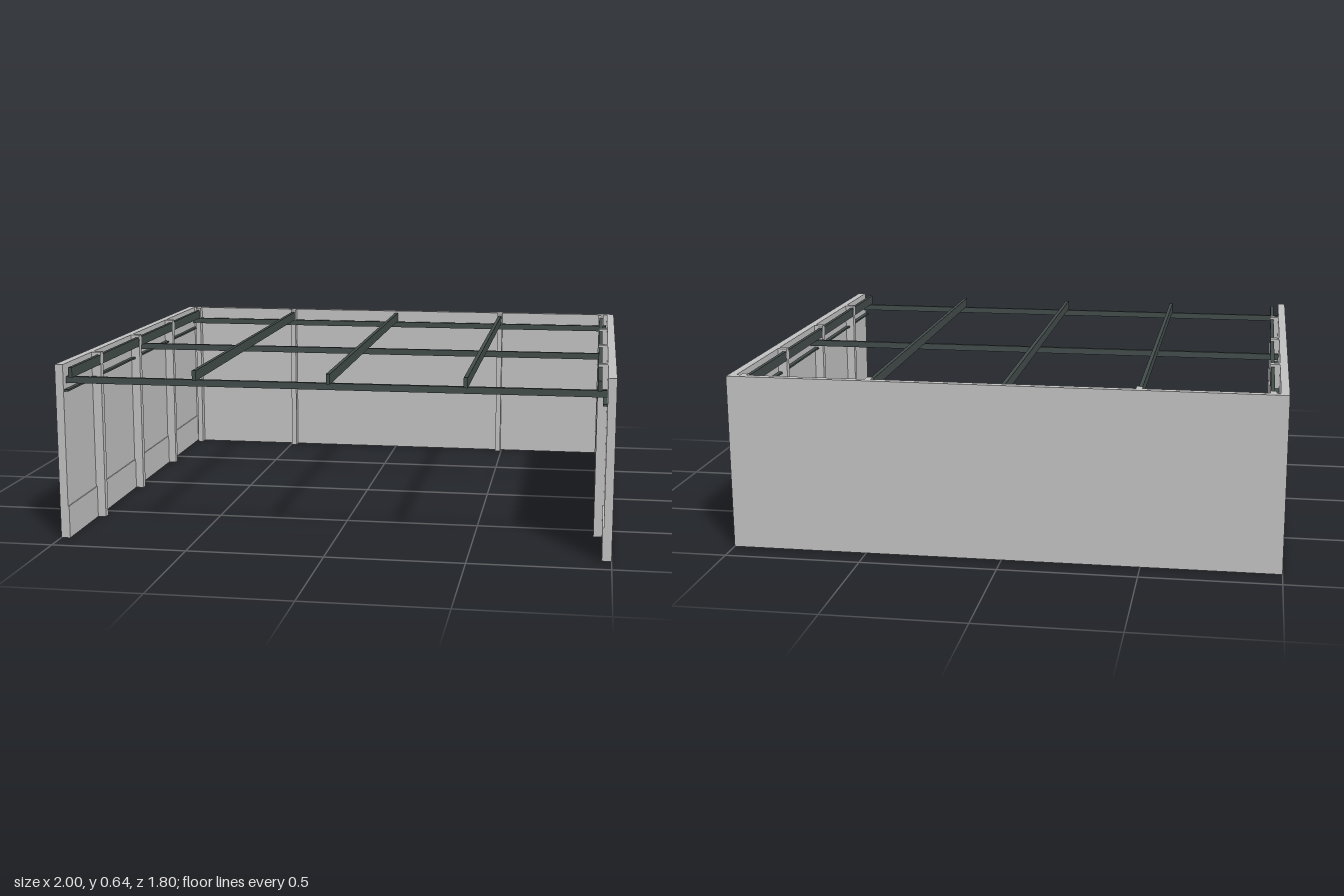
import * as THREE from 'three';

export function createModel() {
  const model = new THREE.Group();
  const wallGrey = new THREE.MeshStandardMaterial({ color: 0xc0c0c0 });
  wallGrey.name = 'wall grey';
  const darkSteel = new THREE.MeshStandardMaterial({ color: 0x424c4a });
  darkSteel.name = 'dark steel';

  // Box given by its minimum and maximum corners
  function box(name, material, [x0, y0, z0], [x1, y1, z1]) {
    const mesh = new THREE.Mesh(new THREE.BoxGeometry(x1 - x0, y1 - y0, z1 - z0), material);
    mesh.position.set((x0 + x1) / 2, (y0 + y1) / 2, (z0 + z1) / 2);
    mesh.name = name;
    model.add(mesh);
    return mesh;
  }

  // The same box on both sides of the centre line
  function pair(name, material, min, max) {
    box(name + 'Left', material, min, max);
    box(name + 'Right', material, [-max[0], min[1], min[2]], [-min[0], max[1], max[2]]);
  }

  const H = 0.645;

  // Walls on three sides, with a shallow plinth along the inside
  box('backWall', wallGrey, [-1, 0, -0.9], [1, H, -0.872]);
  pair('sideWall', wallGrey, [0.97, 0, -0.872], [1, H, 0.9]);
  pair('sidePlinth', wallGrey, [0.966, 0, -0.872], [0.97, 0.12, 0.9]);

  // Posts against the side walls
  for (const z of [-0.392, 0.092, 0.575]) {
    pair('sidePost', wallGrey, [0.935, 0, z - 0.014], [0.97, H, z + 0.014]);
  }

  // Posts against the back wall and in its corners
  for (const x of [0.484, 0.944]) {
    pair('backPost', wallGrey, [x - 0.011, 0, -0.872], [x + 0.011, H, -0.838]);
  }

  // Cross beams
  for (const z of [-0.843, 0.01, 0.867]) {
    box('crossBeam', darkSteel, [-0.968, 0.574, z - 0.008], [0.968, 0.598, z + 0.008]);
  }

  // Rafters resting on the cross beams
  for (const x of [-0.943, -0.484, 0, 0.484, 0.943]) {
    box('rafter', darkSteel, [x - 0.007, 0.598, -0.872], [x + 0.007, 0.635, 0.9]);
  }

  // Thin ledgers along the side walls
  pair('ledger', darkSteel, [0.954, 0.546, -0.872], [0.97, 0.553, 0.895]);

  return model;
}
